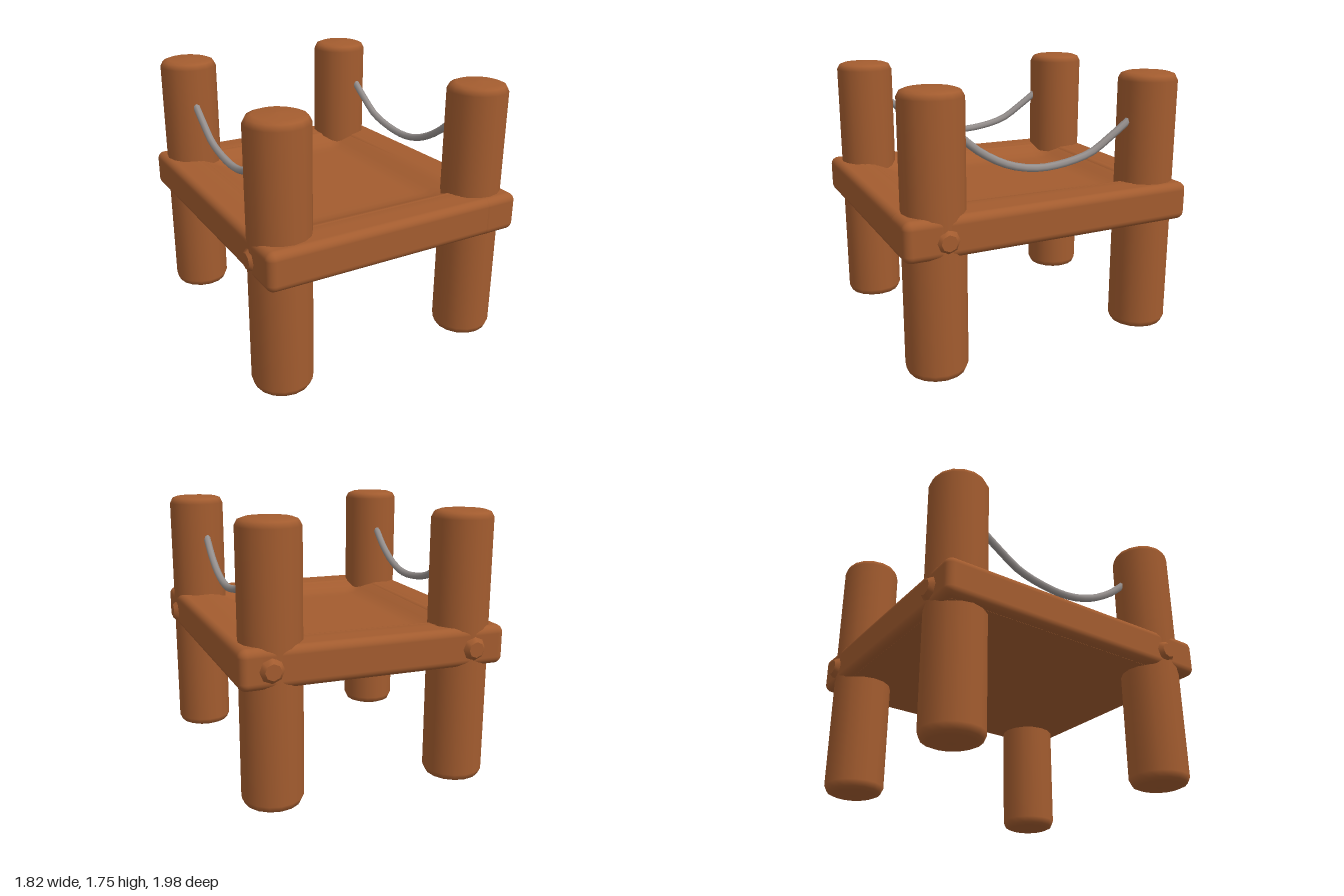
import * as THREE from 'three';
import { RoundedBoxGeometry } from 'three/addons/geometries/RoundedBoxGeometry.js';

export function createModel() {
  const group = new THREE.Group();
  const wood = new THREE.MeshStandardMaterial({ color: 0xa35c2f });
  wood.name = 'wood';
  const rope = new THREE.MeshStandardMaterial({ color: 0x96908e });
  rope.name = 'rope';

  function add(name, geometry, material, x = 0, y = 0, z = 0) {
    const mesh = new THREE.Mesh(geometry, material);
    mesh.name = name;
    mesh.position.set(x, y, z);
    group.add(mesh);
    return mesh;
  }

  // Round posts with worn, bevelled ends
  const profile = [
    [0, 0], [0.14, 0.005], [0.175, 0.02], [0.193, 0.06],
    [0.193, 1.69], [0.175, 1.725], [0.14, 1.738], [0, 1.745],
  ].map(([r, y]) => new THREE.Vector2(r, y));
  const postGeometry = new THREE.LatheGeometry(profile, 16);
  const posts = {
    frontRightPost: [-0.70, 0.74],
    frontLeftPost: [0.697, 0.74],
    backRightPost: [-0.643, -0.78],
    backLeftPost: [0.595, -0.78],
  };
  for (const [name, [x, z]] of Object.entries(posts)) add(name, postGeometry, wood, x, 0, z);

  // Rounded beams around the deck, laid between two points
  function beam(name, x0, z0, x1, z1) {
    const length = Math.hypot(x1 - x0, z1 - z0);
    const geometry = new RoundedBoxGeometry(0.27, 0.25, length, 4, 0.05);
    const mesh = add(name, geometry, wood, (x0 + x1) / 2, 0.907, (z0 + z1) / 2);
    mesh.rotation.y = Math.atan2(x1 - x0, z1 - z0);
  }
  beam('frontBeam', -0.89, 0.85, 0.89, 0.845);
  beam('backBeam', -0.87, -0.835, 0.83, -0.835);
  beam('rightBeam', -0.735, -0.97, -0.75, 0.98);
  beam('leftBeam', 0.695, -0.97, 0.755, 0.98);

  // Blunt tapered beam ends poking out beside the posts
  const tip = new THREE.CylinderGeometry(0.05, 0.11, 0.07, 8);
  for (const [name, x, z] of [['backRightTip', -0.655, -0.965], ['backLeftTip', 0.64, -0.965]]) {
    add(name, tip, wood, x, 0.9, z).rotation.x = -Math.PI / 2;
  }
  for (const [name, side] of [['frontRightTip', -1], ['frontLeftTip', 1]]) {
    add(name, tip, wood, side * 0.875, 0.89, 0.72).rotation.z = -side * Math.PI / 2;
  }

  // Deck underside, level with the bottom of the beams
  add('deckUnderside', new THREE.BoxGeometry(1.6, 0.1, 1.84), wood, -0.01, 0.831, 0.005);

  // Deck top: a shallow dish that rises softly to meet the beams
  const halfX = 0.72, halfZ = 0.84;
  const dish = new THREE.PlaneGeometry(halfX * 2, halfZ * 2, 24, 28).rotateX(-Math.PI / 2);
  const position = dish.attributes.position;
  for (let i = 0; i < position.count; i++) {
    const inset = Math.min(halfX - Math.abs(position.getX(i)), halfZ - Math.abs(position.getZ(i)));
    position.setY(i, 0.07 * (1 - THREE.MathUtils.smoothstep(inset, 0.05, 0.28)));
  }
  dish.computeVertexNormals();
  add('deckTop', dish, wood, -0.015, 0.965, 0.005);

  // Sagging ropes strung between the posts on each side
  const sag = [
    [0.6, 1.48], [0.42, 1.33], [0.22, 1.23], [0, 1.195], [-0.32, 1.25], [-0.47, 1.34], [-0.64, 1.46],
  ];
  function hangRope(name, xFront, xBack) {
    const curve = new THREE.CatmullRomCurve3(sag.map(([z, y]) => (
      new THREE.Vector3(THREE.MathUtils.mapLinear(z, 0.6, -0.64, xFront, xBack), y, z)
    )));
    add(name, new THREE.TubeGeometry(curve, 20, 0.025, 7), rope);
  }
  hangRope('rightRope', -0.68, -0.665);
  hangRope('leftRope', 0.665, 0.645);

  return group;
}
